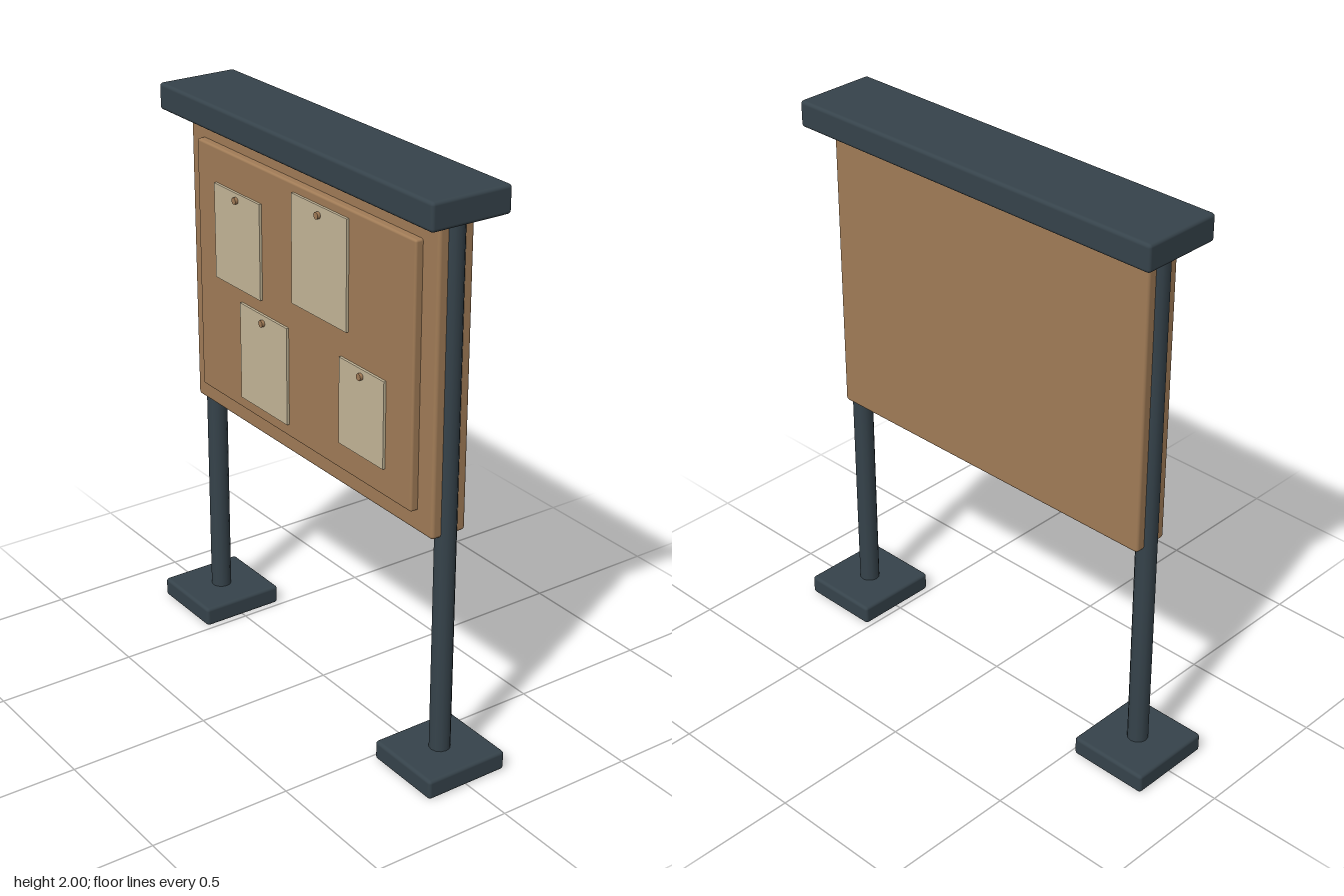
import * as THREE from 'three';
import { RoundedBoxGeometry } from 'three/addons/geometries/RoundedBoxGeometry.js';

const material = (name, color) => new THREE.MeshStandardMaterial({ name, color });

export function createModel() {
  const metal = material('dark metal', 0x36434b);
  const wood = material('brown wood', 0xa17c57);
  const paper = material('cream paper', 0xc4b698);

  const group = new THREE.Group();
  group.name = 'noticeBoard';

  const add = (name, geometry, mat, x, y, z) => {
    const mesh = new THREE.Mesh(geometry, mat);
    mesh.name = name;
    mesh.position.set(x, y, z);
    group.add(mesh);
    return mesh;
  };

  // Box with softened edges, given by its limits
  const slab = (name, mat, [x0, x1], [y0, y1], [z0, z1], bevel) =>
    add(name, new RoundedBoxGeometry(x1 - x0, y1 - y0, z1 - z0, 2, bevel), mat,
      (x0 + x1) / 2, (y0 + y1) / 2, (z0 + z1) / 2);

  // Posts on square feet
  for (const [side, s] of [['left', 1], ['right', -1]]) {
    const x = 0.662 * s;
    slab(side + 'Foot', metal, [x - 0.147, x + 0.147], [0, 0.07], [-0.155, 0.155], 0.012);
    add(side + 'Post', new THREE.CylinderGeometry(0.036, 0.036, 1.88, 12), metal, x, 0.99, 0);
  }

  // Roof cap
  slab('roof', metal, [-0.746, 0.746], [1.907, 2], [-0.148, 0.148], 0.012);

  // Board and raised pinning surface
  slab('board', wood, [-0.678, 0.678], [0.86, 1.905], [-0.066, 0.066], 0.012);
  slab('pinSurface', wood, [-0.602, 0.602], [0.935, 1.833], [0.05, 0.093], 0.008);

  // Notices: x limits, y limits, pin x, pin y
  const notices = [
    [[-0.486, -0.216], [1.375, 1.71], -0.352, 1.685],
    [[-0.032, 0.268], [1.428, 1.803], 0.118, 1.772],
    [[-0.34, -0.064], [0.98, 1.328], -0.202, 1.3],
    [[0.23, 0.467], [1.032, 1.333], 0.348, 1.308],
  ];
  notices.forEach(([xs, ys, px, py], i) => {
    add('notice' + (i + 1), new THREE.BoxGeometry(xs[1] - xs[0], ys[1] - ys[0], 0.0095), paper,
      (xs[0] + xs[1]) / 2, (ys[0] + ys[1]) / 2, 0.0975);
    const pin = add('pin' + (i + 1), new THREE.CylinderGeometry(0.012, 0.012, 0.013, 12), wood, px, py, 0.1065);
    pin.rotation.x = Math.PI / 2;
  });

  return group;
}
